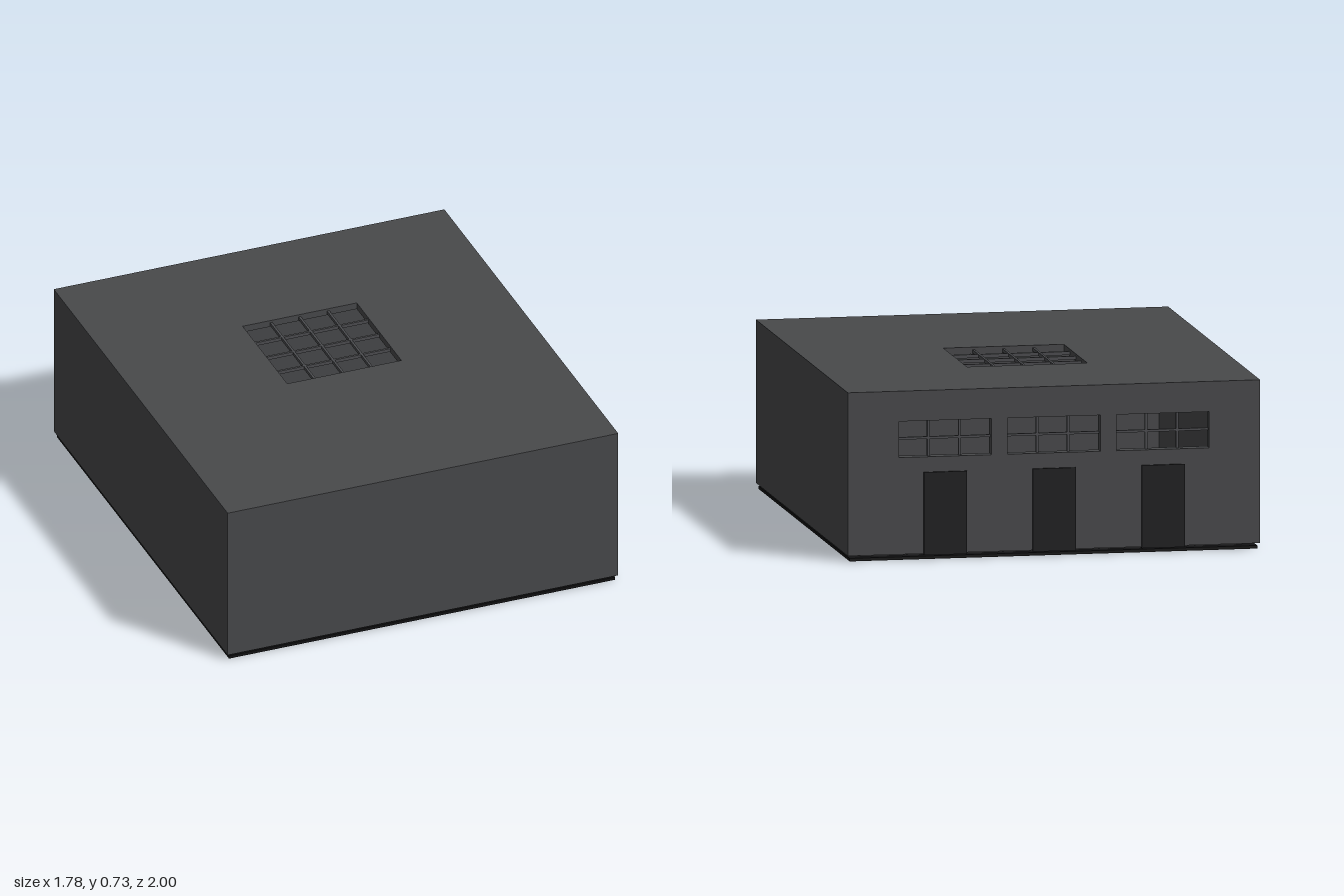
import * as THREE from 'three';

const mat = (color) => new THREE.MeshStandardMaterial({ color });

// Rectangular panel with rectangular holes; rectangles are [x0, y0, x1, y1]
function panel(outer, holes, depth) {
  const trace = (path, [x0, y0, x1, y1]) => {
    path.moveTo(x0, y0);
    path.lineTo(x1, y0);
    path.lineTo(x1, y1);
    path.lineTo(x0, y1);
    path.closePath();
    return path;
  };
  const shape = trace(new THREE.Shape(), outer);
  holes.forEach((h) => shape.holes.push(trace(new THREE.Path(), h)));
  return new THREE.ExtrudeGeometry(shape, { depth, bevelEnabled: false });
}

export function createModel() {
  const model = new THREE.Group();
  model.name = 'hall';
  const wall = mat(0x48494b), black = mat(0x121213), door = mat(0x1d1d1f);
  const tile = mat(0x707073), frame = mat(0x4c4d50), orange = mat(0xd98a2b);

  const add = (name, geometry, material, parent = model) => {
    const mesh = new THREE.Mesh(geometry, material);
    mesh.name = name;
    parent.add(mesh);
    return mesh;
  };
  // Box given by its low and high corners
  const box = (name, [x0, y0, z0], [x1, y1, z1], material, parent) => {
    const mesh = add(name, new THREE.BoxGeometry(x1 - x0, y1 - y0, z1 - z0), material, parent);
    mesh.position.set((x0 + x1) / 2, (y0 + y1) / 2, (z0 + z1) / 2);
    return mesh;
  };

  const X = 0.89, BACK = -0.99, FRONT = 1, BOTTOM = 0.025, TOP = 0.725;
  const T = 0.05, ROOF = 0.03;

  // Ground slab and tiled floor
  box('baseSlab', [-0.88, 0, -0.98], [0.88, 0.013, 0.99], black);
  const floor = new THREE.Group();
  floor.name = 'floorTiles';
  model.add(floor);
  const pitch = 0.207, gap = 0.003;
  for (let i = 0; i < 8; i++) {
    for (let j = 0; j < 9; j++) {
      const x = (i - 4) * pitch, z = (j - 4.5) * pitch;
      box('floorTile', [x + gap, 0.013, z + gap],
        [x + pitch - gap, 0.026, z + pitch - gap], tile, floor);
    }
  }

  // Closed walls
  box('frontWall', [-X, BOTTOM, FRONT - T], [X, TOP - ROOF, FRONT], wall);
  for (const s of [-1, 1]) {
    const a = s * X, b = s * (X - T);
    box('sideWall', [Math.min(a, b), BOTTOM, BACK + T],
      [Math.max(a, b), TOP - ROOF, FRONT - T], wall);
  }

  // Back wall with three window openings
  const bays = [-0.47, 0, 0.47];
  const winHalf = 0.2, winLow = 0.44, winHigh = 0.595;
  const backWall = add('backWall', panel([-X, BOTTOM, X, TOP - ROOF],
    bays.map((x) => [x - winHalf, winLow, x + winHalf, winHigh]), T), wall);
  backWall.position.z = BACK;

  // Doors and window bars in each bay
  for (const x of bays) {
    box('door', [x - 0.093, 0.02, -1], [x + 0.093, 0.375, BACK + 0.002], door);
    const bars = new THREE.Group();
    bars.name = 'windowBars';
    model.add(bars);
    const z0 = BACK + 0.025, z1 = BACK + 0.037;
    for (const d of [-0.067, 0.067]) {
      box('mullion', [x + d - 0.005, winLow, z0], [x + d + 0.005, winHigh, z1], frame, bars);
    }
    const mid = (winLow + winHigh) / 2;
    box('transom', [x - winHalf, mid - 0.005, z0], [x + winHalf, mid + 0.005, z1], frame, bars);
  }

  // Roof with a square skylight and its grid
  const sx = 0.26, sz0 = -0.41, sz1 = 0.1;
  const roof = add('roof',
    panel([-X, -FRONT, X, -BACK], [[-sx, -sz1, sx, -sz0]], ROOF), wall);
  roof.rotation.x = -Math.PI / 2;
  roof.position.y = TOP - ROOF;
  const grid = new THREE.Group();
  grid.name = 'skylightGrid';
  model.add(grid);
  for (let i = 1; i < 4; i++) {
    const x = -sx + (i * sx) / 2, z = sz0 + (i * (sz1 - sz0)) / 4;
    box('skylightBar', [x - 0.005, 0.7, sz0], [x + 0.005, 0.715, sz1], frame, grid);
    box('skylightBar', [-sx, 0.7, z - 0.005], [sx, 0.715, z + 0.005], frame, grid);
  }

  // Round floor marking below the skylight
  const disc = add('floorDisc', new THREE.CylinderGeometry(0.105, 0.105, 0.006, 40), frame);
  disc.position.y = 0.029;
  const ring = add('floorRing', new THREE.TorusGeometry(0.11, 0.006, 8, 48), tile);
  ring.rotation.x = Math.PI / 2;
  ring.position.y = 0.03;

  // Low benches with orange tops along the left wall
  for (const z of [-0.4, 0.45]) {
    const bench = new THREE.Group();
    bench.name = 'bench';
    model.add(bench);
    box('benchBody', [0.43, 0.026, z - 0.12], [0.55, 0.16, z + 0.12], frame, bench);
    box('benchTop', [0.42, 0.16, z - 0.13], [0.56, 0.18, z + 0.13], orange, bench);
  }
  return model;
}
